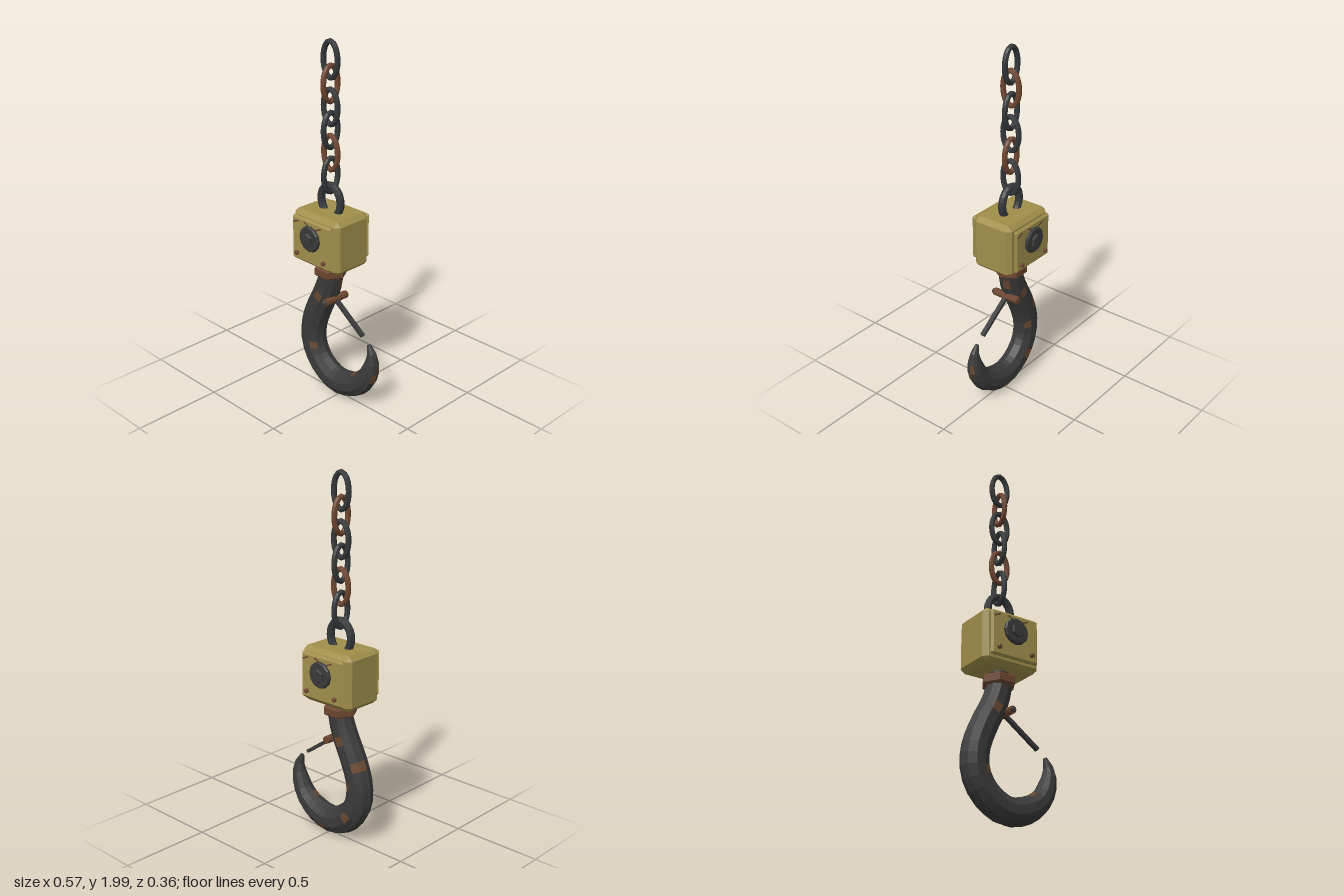
import * as THREE from 'three';
import { ConvexGeometry } from 'three/addons/geometries/ConvexGeometry.js';

const AXIS = -0.072; // x of the chain, block and shank

const mat = (name, color) => {
  const m = new THREE.MeshStandardMaterial({ color });
  m.name = name;
  return m;
};

// Faceted normals
const flat = (g) => {
  const f = g.index ? g.toNonIndexed() : g;
  f.computeVertexNormals();
  return f;
};

const add = (parent, name, geo, material, x = 0, y = 0, z = 0) => {
  const mesh = new THREE.Mesh(geo, material);
  mesh.name = name;
  mesh.position.set(x, y, z);
  parent.add(mesh);
  return mesh;
};

// Box with every edge and corner cut by c
function chamferBox(w, h, d, c) {
  const pts = [];
  for (const sx of [-1, 1]) for (const sy of [-1, 1]) for (const sz of [-1, 1]) {
    const x = w / 2, y = h / 2, z = d / 2;
    pts.push(
      new THREE.Vector3(sx * x, sy * (y - c), sz * (z - c)),
      new THREE.Vector3(sx * (x - c), sy * y, sz * (z - c)),
      new THREE.Vector3(sx * (x - c), sy * (y - c), sz * z));
  }
  return new ConvexGeometry(pts);
}

// Oval ring in the xy plane
function ovalRing(rx, ry, tube, sides) {
  const pts = [];
  for (let i = 0; i < 16; i++) {
    const a = (i / 16) * Math.PI * 2;
    pts.push(new THREE.Vector3(Math.cos(a) * rx, Math.sin(a) * ry, 0));
  }
  return flat(new THREE.TubeGeometry(new THREE.CatmullRomCurve3(pts, true), 20, tube, sides, true));
}

// Cylinder lying along z with a chamfered outer rim, base at z = 0
function disc(r, depth, c, sides) {
  const g = new THREE.LatheGeometry([
    new THREE.Vector2(0, 0), new THREE.Vector2(r, 0), new THREE.Vector2(r, depth - c),
    new THREE.Vector2(r - c, depth), new THREE.Vector2(0, depth)], sides);
  g.rotateX(Math.PI / 2);
  return flat(g);
}

// Hook: tapering ten-sided sweep; listed faces use the second material
function hookGeometry() {
  // x, y, radius in the hook's plane, radius across it
  const stations = [
    [-0.072, 0.76, 0.066, 0.062], [-0.072, 0.717, 0.068, 0.062], [-0.102, 0.617, 0.075, 0.063],
    [-0.167, 0.484, 0.077, 0.064], [-0.209, 0.357, 0.076, 0.064], [-0.204, 0.246, 0.078, 0.064],
    [-0.145, 0.15, 0.079, 0.064], [-0.03, 0.087, 0.078, 0.064], [0.09, 0.105, 0.071, 0.063],
    [0.183, 0.17, 0.06, 0.056], [0.229, 0.262, 0.049, 0.044], [0.238, 0.335, 0.033, 0.028],
    [0.214, 0.4, 0.011, 0.01]];
  const rusty = new Set(['3,2', '1,9', '10,1', '8,8', '6,5', '6,6', '19,0', '21,4', '22,5',
    '16,6', '12,7', '3,7']);
  const SEG = 25, SIDES = 10;
  const curve = new THREE.CatmullRomCurve3(stations.map((s) => new THREE.Vector3(s[0], s[1], 0)));
  const pos = [], faces = [[], []];
  for (let i = 0; i <= SEG; i++) {
    const t = curve.getUtoTmapping(i / SEG);
    const p = curve.getPoint(t), T = curve.getTangent(t);
    const f = t * (stations.length - 1), j = Math.min(Math.floor(f), stations.length - 2);
    const r = THREE.MathUtils.lerp(stations[j][2], stations[j + 1][2], f - j);
    const rz = THREE.MathUtils.lerp(stations[j][3], stations[j + 1][3], f - j);
    for (let k = 0; k < SIDES; k++) {
      const a = (k / SIDES) * Math.PI * 2, n = Math.cos(a) * r;
      pos.push(p.x - T.y * n, p.y + T.x * n, Math.sin(a) * rz);
    }
  }
  for (let i = 0; i < SEG; i++) for (let k = 0; k < SIDES; k++) {
    const k2 = (k + 1) % SIDES;
    const a = i * SIDES + k, b = i * SIDES + k2, c = b + SIDES, d = a + SIDES;
    faces[rusty.has(i + ',' + k) ? 1 : 0].push(a, b, d, b, c, d);
  }
  // End caps
  const last = SEG * SIDES;
  for (let k = 1; k < SIDES - 1; k++) {
    faces[0].push(0, k + 1, k, last, last + k, last + k + 1);
  }
  const g = new THREE.BufferGeometry();
  g.setAttribute('position', new THREE.Float32BufferAttribute(pos, 3));
  g.setIndex([...faces[0], ...faces[1]]);
  g.addGroup(0, faces[0].length, 0);
  g.addGroup(faces[0].length, faces[1].length, 1);
  return flat(g);
}

export function createModel() {
  const iron = mat('dark iron', 0x3a3a3b);
  const steel = mat('chain steel', 0x34383a);
  const rust = mat('rust', 0x6e4630);
  const patchRust = mat('rust patch', 0x68472f);
  const paint = mat('worn yellow paint', 0xa08f4b);

  const model = new THREE.Group();
  model.name = 'hoistHook';

  // Chain of six links, alternately turned
  const chain = new THREE.Group();
  chain.name = 'chain';
  model.add(chain);
  const linkGeo = ovalRing(0.05, 0.093, 0.0145, 8);
  for (let i = 0; i < 6; i++) {
    const link = add(chain, 'chainLink', linkGeo, i === 1 || i === 4 ? rust : steel,
      AXIS, 1.893 - i * 0.1213, 0);
    if (i % 2) link.rotation.y = Math.PI / 2;
  }

  // Lifting eye sunk into the block
  add(model, 'liftingEye', ovalRing(0.071, 0.085, 0.021, 8), steel, AXIS, 1.145, 0);

  // Block body
  add(model, 'block', chamferBox(0.335, 0.3, 0.242, 0.025), paint, AXIS, 0.942, 0);

  // Cover plate, axle boss, bolts and scratches on front and back
  const plateGeo = chamferBox(0.285, 0.25, 0.024, 0.0115);
  const bossGeo = disc(0.071, 0.018, 0.006, 12);
  const nutGeo = disc(0.038, 0.016, 0.003, 6);
  const boltGeo = disc(0.012, 0.017, 0.003, 8);
  const scratchGeo = new THREE.BoxGeometry(0.042, 0.008, 0.006);
  for (const turn of [0, Math.PI]) {
    const side = new THREE.Group();
    side.name = turn ? 'backCover' : 'frontCover';
    side.position.x = AXIS;
    side.rotation.y = turn;
    model.add(side);
    add(side, 'coverPlate', plateGeo, paint, 0, 0.947, 0.137);
    add(side, 'axleBoss', bossGeo, iron, 0, 0.973, 0.148);
    add(side, 'axleNut', nutGeo, iron, 0, 0.973, 0.165);
    for (const x of [-0.099, 0.099]) add(side, 'bolt', boltGeo, rust, x, 0.865, 0.148);
    for (const [x, y, tilt] of [[-0.11, 1.042, 0.4], [-0.025, 1.045, -0.45], [0.057, 1.04, 0.4]]) {
      add(side, 'scratch', scratchGeo, patchRust, x, y, 0.148).rotation.z = tilt;
    }
  }

  // Swivel neck and hexagonal collar
  add(model, 'neck', flat(new THREE.CylinderGeometry(0.053, 0.053, 0.1, 12)), iron, AXIS, 0.76, 0);
  const collarProfile = [[0, 0], [0.082, 0], [0.091, 0.008], [0.091, 0.045], [0.082, 0.053], [0, 0.053]]
    .map(([r, y]) => new THREE.Vector2(r, y));
  const collar = add(model, 'collar', flat(new THREE.LatheGeometry(collarProfile, 6)), rust, AXIS, 0.721, 0);
  collar.rotation.y = Math.PI / 2;

  add(model, 'hook', hookGeometry(), [iron, patchRust]);

  // Safety latch on a cross pin
  const px = -0.04, py = 0.583;
  const pinGeo = flat(new THREE.CylinderGeometry(0.021, 0.021, 0.16, 8).rotateX(Math.PI / 2));
  add(model, 'latchPin', pinGeo, rust, px, py, 0);
  add(model, 'latchPinHead', disc(0.015, 0.012, 0.003, 8), iron, px, py, 0.08);
  const dx = 0.207, dy = -0.148;
  const latch = add(model, 'latch', new THREE.BoxGeometry(Math.hypot(dx, dy), 0.018, 0.024), iron,
    px + dx / 2, py + dy / 2, 0);
  latch.rotation.z = Math.atan2(dy, dx);

  return model;
}
